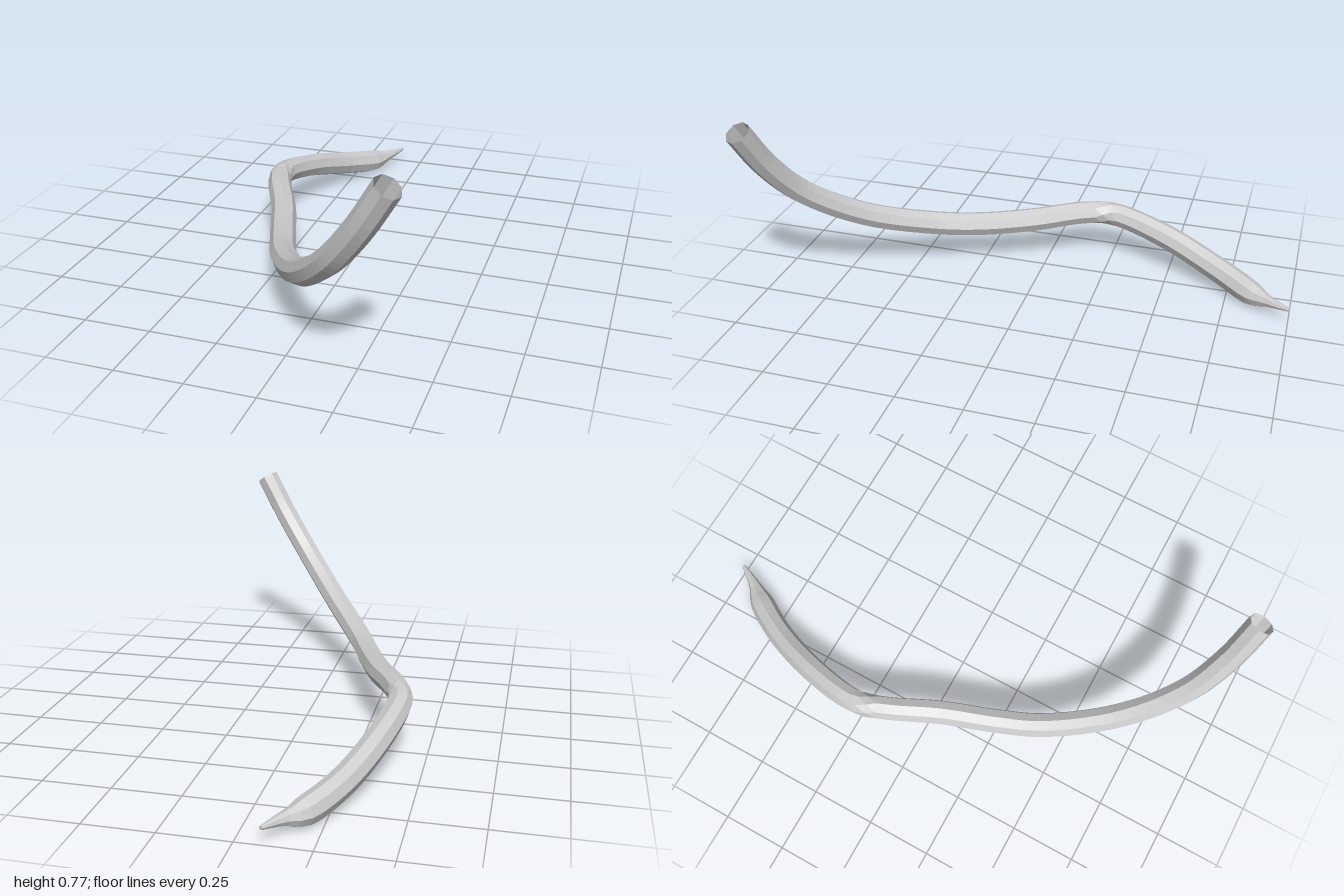
import * as THREE from 'three';

const SIDES = 8;
const RINGS = 72;

// Piecewise linear lookup of radius along z (front to tail)
const RADII = [[1, 0.048], [0.1, 0.048], [-0.2, 0.046], [-0.5, 0.049], [-0.84, 0.05], [-0.87, 0.043], [-0.915, 0.023], [-1, 0.007]];
function radiusAt(z) {
  for (let i = 1; i < RADII.length; i++) {
    const [z0, r0] = RADII[i - 1], [z1, r1] = RADII[i];
    if (z >= z1) return THREE.MathUtils.mapLinear(z, z0, z1, r0, r1);
  }
  return RADII[RADII.length - 1][1];
}

export function createModel() {
  const group = new THREE.Group();
  group.name = 'curvedTube';

  // Centre line from the raised open end to the pointed tail
  const path = new THREE.CatmullRomCurve3([
    [0.40, 0.753, 0.947], [0.3, 0.588, 0.91], [0.18, 0.43, 0.835], [0.02, 0.28, 0.66],
    [-0.13, 0.198, 0.42], [-0.2, 0.184, 0.25], [-0.275, 0.195, 0.05], [-0.365, 0.21, -0.14],
    [-0.396, 0.205, -0.25], [-0.36, 0.158, -0.47], [-0.275, 0.09, -0.7],
    [-0.18, 0.054, -0.86], [-0.135, 0.06, -0.92], [-0.088, 0.066, -1],
  ].map((p) => new THREE.Vector3(...p)));
  const { normals, binormals } = path.computeFrenetFrames(RINGS);

  // Cross-section rings; the facets twist at the bend, the last ring closes the tip
  const positions = [], index = [];
  for (let i = 0; i <= RINGS + 1; i++) {
    const k = Math.min(i, RINGS);
    const c = path.getPointAt(k / RINGS);
    const r = i > RINGS ? 0 : radiusAt(c.z);
    const twist = 0.7 * THREE.MathUtils.smoothstep(-c.z, 0.16, 0.27);
    for (let j = 0; j < SIDES; j++) {
      const a = (j / SIDES) * Math.PI * 2 + twist;
      const v = c.clone()
        .addScaledVector(normals[k], -Math.cos(a) * r)
        .addScaledVector(binormals[k], Math.sin(a) * r);
      positions.push(v.x, v.y, v.z);
      if (i > 0) {
        const j1 = (j + 1) % SIDES;
        const p = (i - 1) * SIDES, q = i * SIDES;
        index.push(p + j, q + j, p + j1, q + j, q + j1, p + j1);
      }
    }
  }
  const geometry = new THREE.BufferGeometry();
  geometry.setAttribute('position', new THREE.Float32BufferAttribute(positions, 3));
  geometry.setIndex(index);
  geometry.computeVertexNormals();

  const tube = new THREE.Mesh(geometry, new THREE.MeshStandardMaterial({
    color: 0xcccccc, flatShading: true, side: THREE.DoubleSide,
  }));
  tube.name = 'taperedTube';
  group.add(tube);
  return group;
}
